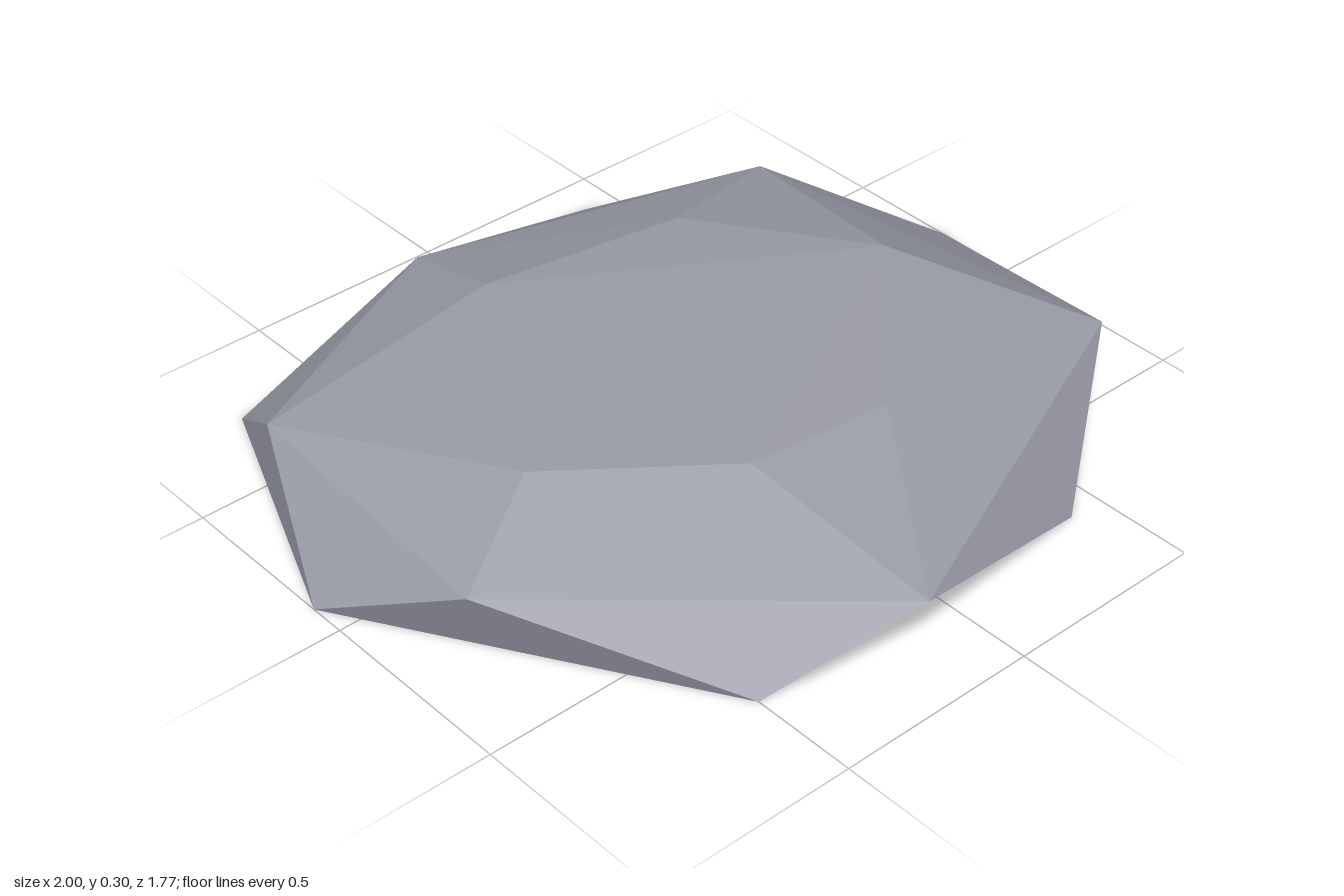
import * as THREE from 'three';

// Three six-sided rings, each turned half a step from the one below; corners run front -> right -> back -> left.
const BASE = [[0.41, 0, 0.755], [1, 0, -0.22], [0.41, 0, -0.89], [-0.73, 0, -0.74], [-1, 0, -0.09], [-0.5, 0, 0.74]];
const SHOULDER = [[-0.17, 0.17, 0.885], [0.82, 0.17, 0.455], [0.69, 0.17, -0.55], [-0.18, 0.17, -0.79], [-0.82, 0.17, -0.49], [-0.86, 0.17, 0.26]];
const CROWN = [[-0.24, 0.295, 0.43], [0.13, 0.278, 0.455], [0.53, 0.3, 0.04], [0.28, 0.275, -0.39], [-0.24, 0.294, -0.45], [-0.6, 0.285, 0.13]];

function facetMesh(name, triangles, material) {
  const geometry = new THREE.BufferGeometry();
  geometry.setAttribute('position', new THREE.Float32BufferAttribute(triangles.flat(2), 3));
  geometry.computeVertexNormals();
  const mesh = new THREE.Mesh(geometry, material);
  mesh.name = name;
  return mesh;
}

// Zigzag band of facets joining a lower ring to the ring above
function band(lower, upper) {
  const triangles = [];
  for (let i = 0; i < 6; i++) {
    const j = (i + 1) % 6;
    triangles.push([lower[i], upper[j], upper[i]], [lower[i], lower[j], upper[j]]);
  }
  return triangles;
}

export function createModel() {
  const stone = new THREE.MeshStandardMaterial({ color: 0x9a9ca8 });
  stone.name = 'grey stone';
  stone.flatShading = true;

  // Top: one central triangle with three lower corner facets
  const top = [[CROWN[0], CROWN[2], CROWN[4]]];
  for (let i = 0; i < 6; i += 2) top.push([CROWN[i], CROWN[i + 1], CROWN[(i + 2) % 6]]);

  // Flat underside
  const underside = [];
  for (let i = 1; i < 5; i++) underside.push([BASE[0], BASE[i + 1], BASE[i]]);

  const rock = new THREE.Group();
  rock.name = 'flatRock';
  rock.add(
    facetMesh('underside', underside, stone),
    facetMesh('lowerSides', band(BASE, SHOULDER), stone),
    facetMesh('upperSlopes', band(SHOULDER, CROWN), stone),
    facetMesh('topFacets', top, stone),
  );
  return rock;
}
